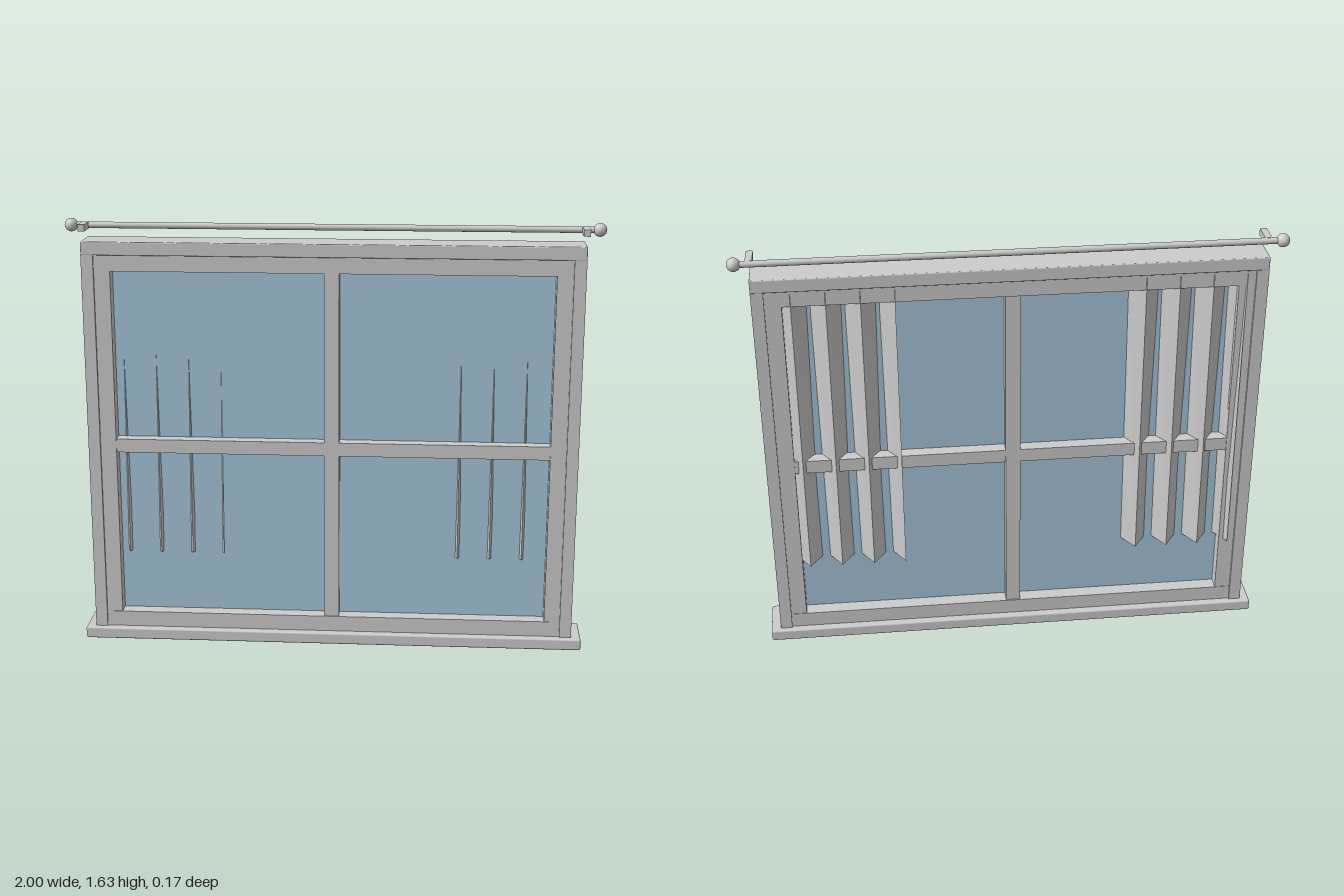
import * as THREE from 'three';
import { RoundedBoxGeometry } from 'three/addons/geometries/RoundedBoxGeometry.js';

export function createModel() {
  const group = new THREE.Group();
  const grey = new THREE.MeshStandardMaterial({ color: 0xcccccc });
  grey.name = 'paintedGrey';
  const fabric = new THREE.MeshStandardMaterial({ color: 0xcccccc, side: THREE.DoubleSide });
  fabric.name = 'curtainGrey';
  const blue = new THREE.MeshStandardMaterial({ color: 0xa6c6da });
  blue.name = 'glassBlue';

  function add(name, geometry, material, x = 0, y = 0, z = 0) {
    const mesh = new THREE.Mesh(geometry, material);
    mesh.name = name;
    mesh.position.set(x, y, z);
    group.add(mesh);
    return mesh;
  }
  // Beam given by its x and y limits and its half depth
  function beam(name, x0, x1, y0, y1, halfZ, bevel = 0) {
    const size = [x1 - x0, y1 - y0, 2 * halfZ];
    const geometry = bevel ? new RoundedBoxGeometry(...size, 2, bevel) : new THREE.BoxGeometry(...size);
    return add(name, geometry, grey, (x0 + x1) / 2, (y0 + y1) / 2);
  }

  // Sill, header and fixed frame
  beam('sill', -0.962, 0.962, 0, 0.045, 0.087, 0.007);
  beam('header', -0.925, 0.925, 1.51, 1.56, 0.068, 0.004);
  beam('rightJamb', -0.925, -0.88, 0.044, 1.511, 0.067);
  beam('leftJamb', 0.88, 0.925, 0.044, 1.511, 0.067);

  // Inner sash and glazing bars
  beam('sashBottom', -0.88, 0.88, 0.045, 0.105, 0.06);
  beam('sashTop', -0.88, 0.88, 1.45, 1.511, 0.06);
  beam('sashRight', -0.88, -0.82, 0.105, 1.45, 0.058);
  beam('sashLeft', 0.82, 0.88, 0.105, 1.45, 0.058);
  beam('verticalBar', -0.028, 0.028, 0.105, 1.45, 0.055);
  beam('horizontalBar', -0.82, 0.82, 0.753, 0.805, 0.054);

  // Glass pane
  add('glass', new THREE.BoxGeometry(1.64, 1.345, 0.012), blue, 0, 0.7775, 0);

  // Pleated curtains whose folds deepen toward the hem
  function curtain(name, x0) {
    const folds = 7, width = 0.43, top = 1.5, hem = 0.34;
    const plane = new THREE.PlaneGeometry(width, top - hem, folds, 1);
    const p = plane.attributes.position;
    for (let i = 0; i < p.count; i++) {
      const column = i % (folds + 1);
      const depth = p.getY(i) > 0 ? 0.031 : 0.047;
      p.setZ(i, column % 2 ? depth : -depth);
    }
    const geometry = plane.toNonIndexed();
    geometry.computeVertexNormals();
    add(name, geometry, fabric, x0 + width / 2, (top + hem) / 2, -0.03);
  }
  curtain('rightCurtain', -0.85);
  curtain('leftCurtain', 0.42);

  // Curtain rod with ball ends and brackets
  const rod = add('curtainRod', new THREE.CylinderGeometry(0.012, 0.012, 1.94, 16), grey, 0, 1.608, -0.03);
  rod.rotation.z = Math.PI / 2;
  for (const [side, s] of [['right', -1], ['left', 1]]) {
    add(side + 'Finial', new THREE.SphereGeometry(0.025, 20, 14), grey, s * 0.975, 1.608, -0.03);
    add(side + 'Bracket', new THREE.BoxGeometry(0.025, 0.025, 0.085), grey, s * 0.922, 1.608, 0.012);
  }
  return group;
}
